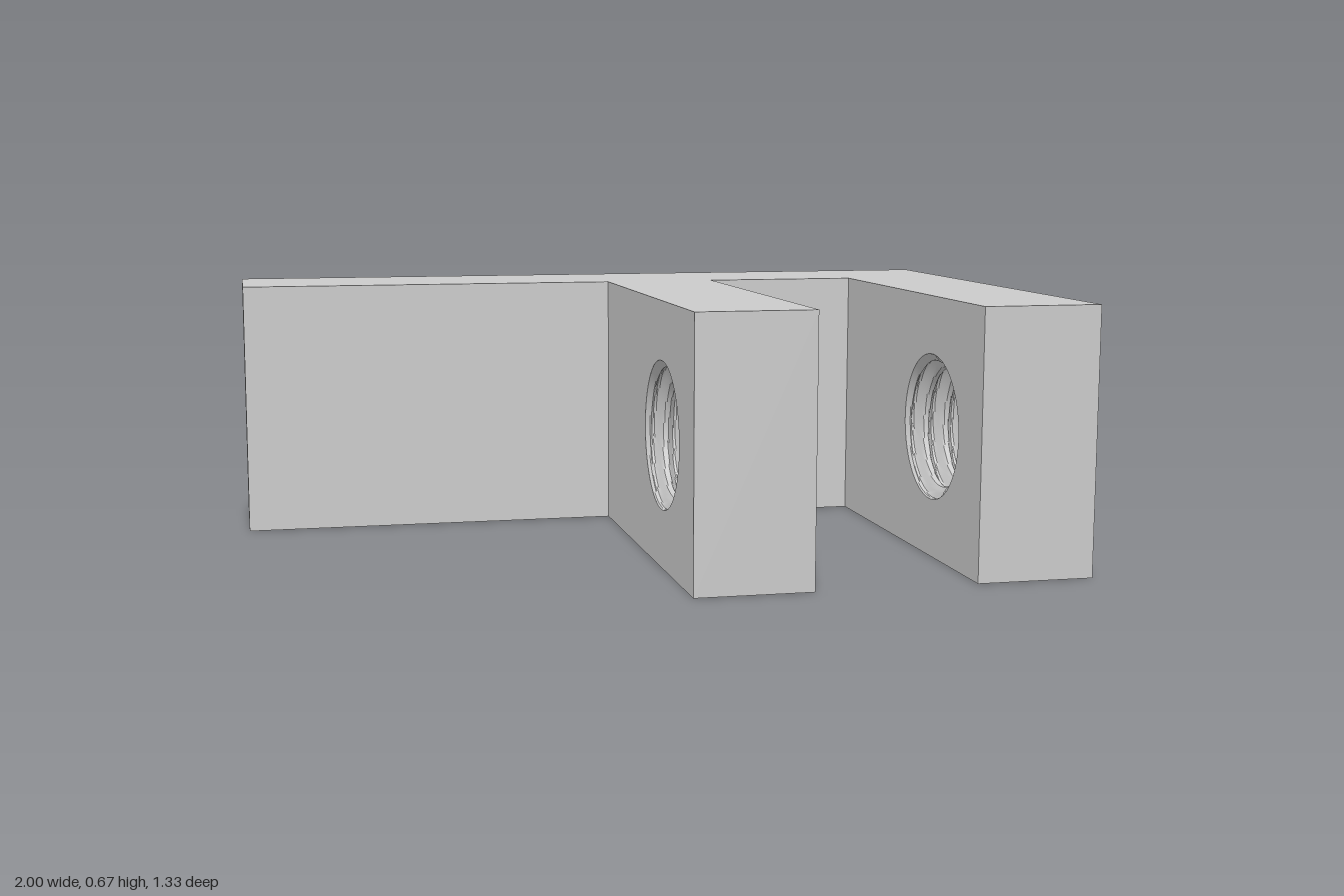
import * as THREE from 'three';
import { toCreasedNormals } from 'three/addons/utils/BufferGeometryUtils.js';

const H = 0.667, HALF = 0.667;          // height, half depth
const BAR_FRONT = -0.335;               // front face of the cross bar
const ARM_W = 0.296;
const HOLE_Y = 0.3335, HOLE_Z = 0.335;
const R_RIM = 0.186, R_ROOT = 0.184, R_CREST = 0.155;
const PITCH = 0.055, SEG = 64;

// Arm plate with a round hole through its width
function armGeometry() {
  const s = new THREE.Shape();
  s.moveTo(-HALF, 0);
  s.lineTo(-BAR_FRONT, 0);
  s.lineTo(-BAR_FRONT, H);
  s.lineTo(-HALF, H);
  s.closePath();
  const hole = new THREE.Path();
  hole.absarc(-HOLE_Z, HOLE_Y, R_RIM, 0, Math.PI * 2, true);
  s.holes.push(hole);
  const g = new THREE.ExtrudeGeometry(s, { depth: ARM_W, bevelEnabled: false, curveSegments: SEG });
  return g.rotateY(Math.PI / 2);
}

// Thread radius over one turn: flat crest, sloped flank, flat root, sloped flank
function threadRadius(phase) {
  const f = phase - Math.floor(phase);
  let k = 0;
  if (f >= 0.25 && f < 0.5625) k = (f - 0.25) / 0.3125;
  else if (f >= 0.5625 && f < 0.6875) k = 1;
  else if (f >= 0.6875) k = (1 - f) / 0.3125;
  return R_CREST + k * (R_ROOT - R_CREST);
}

// Right-hand internal thread, chamfered at both mouths
function threadGeometry() {
  const rows = 88, pos = [], index = [];
  for (let i = 0; i <= rows; i++) {
    const x = (ARM_W * i) / rows;
    const chamfer = R_RIM - Math.min(x, ARM_W - x);
    for (let j = 0; j <= SEG; j++) {
      const t = (j / SEG) * Math.PI * 2;
      const r = Math.max(chamfer, threadRadius(x / PITCH - j / SEG));
      pos.push(x, HOLE_Y + r * Math.cos(t), HOLE_Z + r * Math.sin(t));
      if (i < rows && j < SEG) {
        const a = i * (SEG + 1) + j, b = a + SEG + 1;
        index.push(a, b, a + 1, b, b + 1, a + 1);
      }
    }
  }
  const g = new THREE.BufferGeometry();
  g.setAttribute('position', new THREE.Float32BufferAttribute(pos, 3));
  g.setIndex(index);
  return toCreasedNormals(g, 0.5);
}

export function createModel() {
  const model = new THREE.Group();
  model.name = 'threadedClevisBracket';
  const mat = new THREE.MeshStandardMaterial({ color: 0xcccccc });
  const add = (parent, name, geo) => {
    const m = new THREE.Mesh(geo, mat);
    m.name = name;
    parent.add(m);
    return m;
  };

  // Cross bar along the back
  const depth = BAR_FRONT + HALF;
  add(model, 'crossBar', new THREE.BoxGeometry(2, H, depth))
    .position.set(0, H / 2, -HALF + depth / 2);

  // Two forward arms, each with a threaded hole
  const arm = armGeometry(), thread = threadGeometry();
  for (const [name, x] of [['middleArm', 0], ['endArm', 1 - ARM_W]]) {
    const g = new THREE.Group();
    g.name = name;
    g.position.x = x;
    add(g, name + 'Plate', arm);
    add(g, name + 'Thread', thread);
    model.add(g);
  }
  return model;
}
